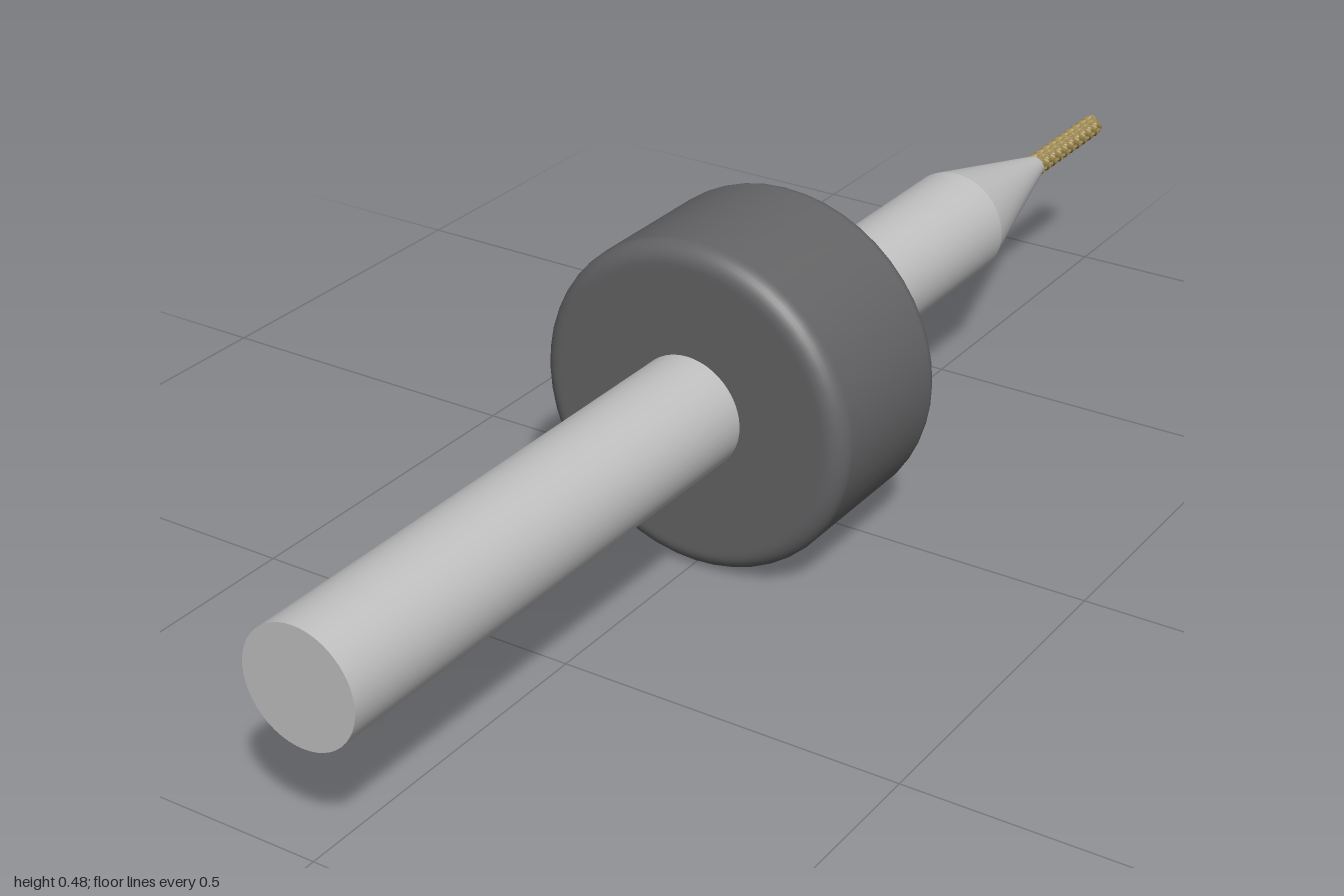
import * as THREE from 'three';

const AXIS_Y = 0.241; // height of the tool axis

export function createModel() {
  const group = new THREE.Group();
  const steel = new THREE.MeshStandardMaterial({ color: 0xc0c0c0 });
  steel.name = 'steel';
  const rubber = new THREE.MeshStandardMaterial({ color: 0x646466 });
  rubber.name = 'darkPlastic';
  const brass = new THREE.MeshStandardMaterial({ color: 0x9c8850, flatShading: true });
  brass.name = 'brass';

  // Lay a geometry made along y onto the z axis (its top faces +z)
  const add = (name, geometry, material, z) => {
    geometry.rotateX(Math.PI / 2);
    const mesh = new THREE.Mesh(geometry, material);
    mesh.name = name;
    mesh.position.set(0, AXIS_Y, z);
    group.add(mesh);
  };

  // Straight shank and tapered neck
  add('shank', new THREE.CylinderGeometry(0.083, 0.083, 1.525, 48), steel, 0.2375);
  add('taperedNeck', new THREE.CylinderGeometry(0.083, 0.016, 0.27, 48), steel, -0.66);

  // Depth collar with rounded rims
  const R = 0.241, half = 0.13, f = 0.028, steps = 8;
  const profile = [new THREE.Vector2(0.08, -half), new THREE.Vector2(R - f - 0.006, -half)];
  for (const side of [-1, 1]) {
    for (let i = 0; i <= steps; i++) {
      const a = (side < 0 ? i / steps - 1 : i / steps) * Math.PI / 2;
      profile.push(new THREE.Vector2(R - f + f * Math.cos(a), side * (half - f) + f * Math.sin(a)));
    }
  }
  profile.push(new THREE.Vector2(R - f - 0.006, half), new THREE.Vector2(0.08, half));
  add('depthCollar', new THREE.LatheGeometry(profile, 48), rubber, 0.08);

  // Cutting bit with crossed spiral teeth
  const length = 0.215;
  const bit = new THREE.CylinderGeometry(0.016, 0.016, length, 24, 60);
  const p = bit.attributes.position;
  const pitch = 2 * Math.PI * 10 / length;
  for (let i = 0; i < p.count; i++) {
    const x = p.getX(i), y = p.getY(i), z = p.getZ(i);
    if (Math.hypot(x, z) < 0.001) continue;
    const a = 4 * Math.atan2(z, x);
    const r = 0.0155 + 0.0025 * Math.max(Math.cos(a + pitch * y), Math.cos(a - pitch * y));
    const s = r / Math.hypot(x, z);
    p.setXYZ(i, x * s, y, z * s);
  }
  bit.computeVertexNormals();
  add('cuttingBit', bit, brass, -1 + length / 2);

  return group;
}
